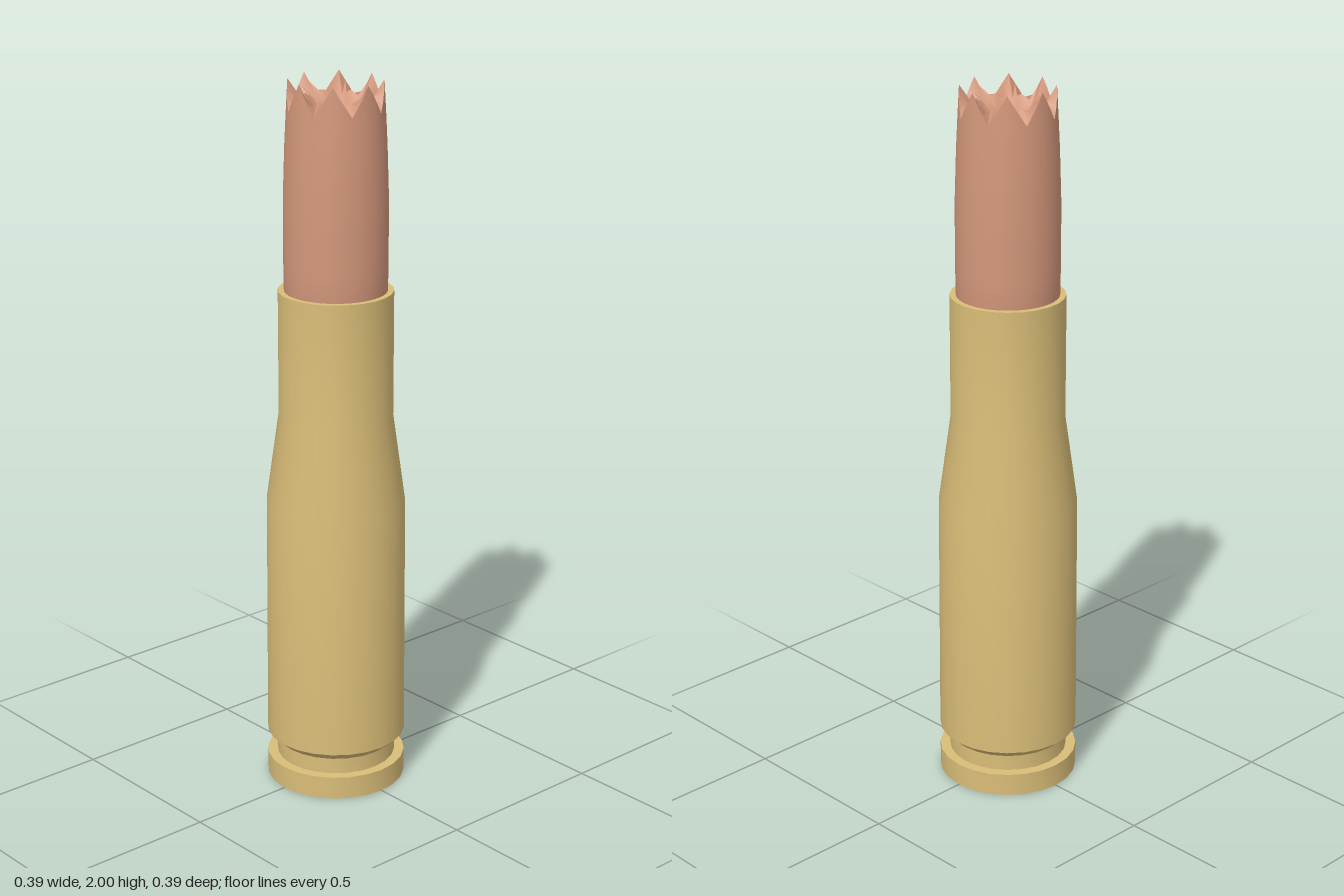
import * as THREE from 'three';
import { toCreasedNormals } from 'three/addons/utils/BufferGeometryUtils.js';

const vec = (points) => points.map(([r, y]) => new THREE.Vector2(r, y));

export function createModel() {
  const model = new THREE.Group();
  const brass = new THREE.MeshStandardMaterial({ name: 'brass', color: 0xd9bd78 });
  const copper = new THREE.MeshStandardMaterial({ name: 'copper', color: 0xd3977b });

  // Turned body: base, rim, groove, straight wall, shoulder, neck and open mouth
  const bodyProfile = vec([
    [0, 0], [0.195, 0], [0.195, 0.065], [0.167, 0.065], [0.167, 0.11], [0.195, 0.135],
    [0.192, 0.83], [0.157, 1.08], [0.157, 1.43], [0.138, 1.43], [0.138, 1.38],
  ]);
  const body = new THREE.Mesh(
    toCreasedNormals(new THREE.LatheGeometry(bodyProfile, 24), 0.6), brass);
  body.name = 'casing';
  model.add(body);

  // Tip: outer wall, toothed crown and hollow centre
  const tipProfile = vec([
    [0.13, 1.36], [0.14, 1.42], [0.141, 1.5], [0.141, 1.68], [0.136, 1.83], [0.132, 1.91],
    [0.127, 2], [0.09, 1.955], [0.056, 1.9], [0.05, 1.84], [0.03, 1.8], [0, 1.79],
  ]);
  const columns = 48;
  const tip = new THREE.LatheGeometry(tipProfile, columns);
  const pos = tip.attributes.position;
  const rows = tipProfile.length;
  for (let i = 0; i < pos.count; i++) {
    const row = i % rows;
    const column = Math.floor(i / rows) % 6;
    // 0 at each of the eight teeth, 1 in the valley between them
    const valley = 1 - Math.abs(column - 3) / 3;
    if (row === 5) pos.setY(i, 1.91 - 0.02 * valley);
    if (row === 6) {
      pos.setY(i, 2 - 0.08 * valley);
      const s = 1 + 0.03 * valley;
      pos.setX(i, pos.getX(i) * s);
      pos.setZ(i, pos.getZ(i) * s);
    }
    // Valley floors rise toward the inside, tooth faces sink into the hollow
    if (row === 7) pos.setY(i, 1.935 + 0.02 * valley);
  }
  const bullet = new THREE.Mesh(toCreasedNormals(tip, 0.7), copper);
  bullet.name = 'hollowTip';
  model.add(bullet);

  return model;
}
